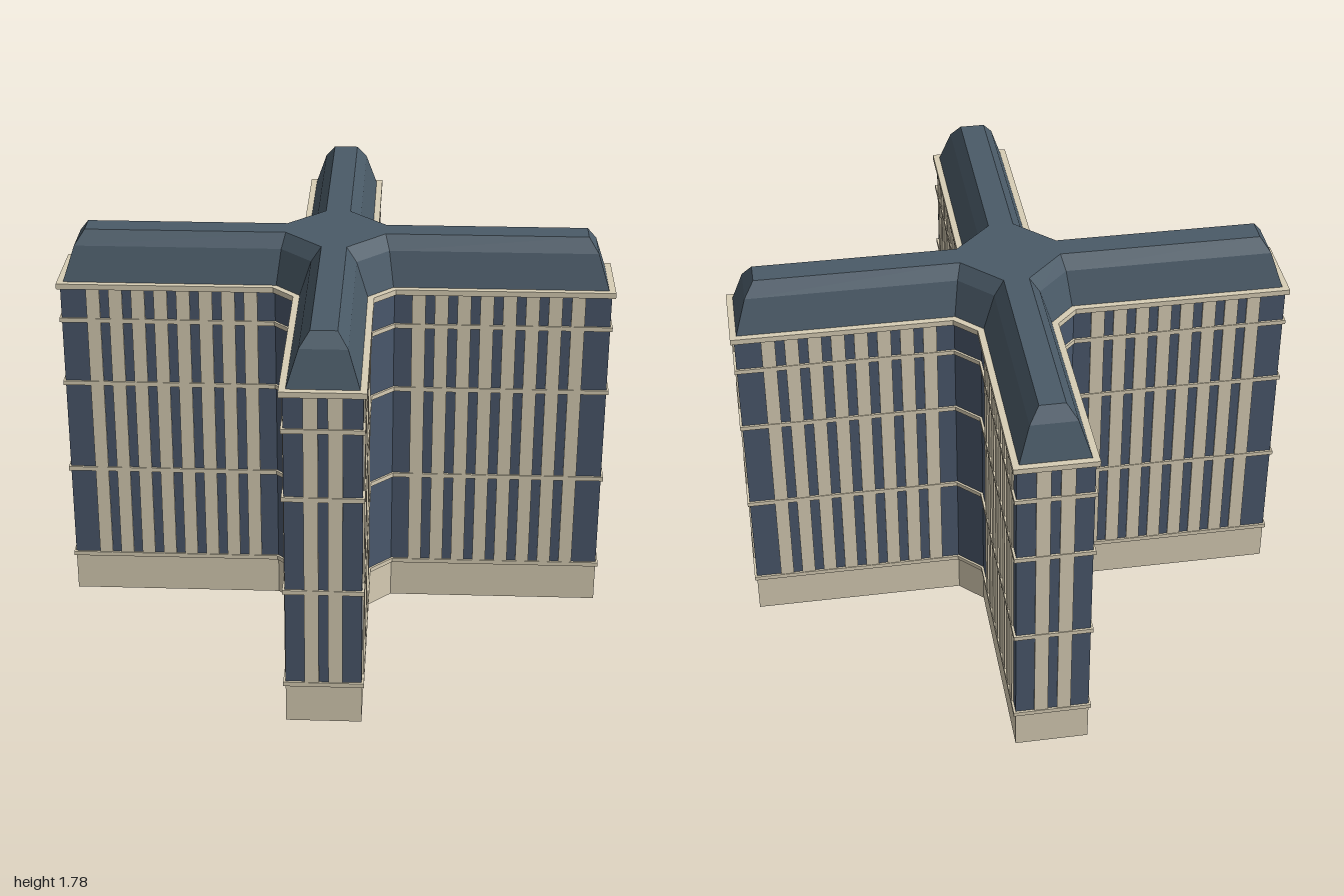
import * as THREE from 'three';

const stone = new THREE.MeshStandardMaterial({ name: 'stone', color: 0xd8ceb5 });
const glass = new THREE.MeshStandardMaterial({ name: 'blueGlass', color: 0x4a586c });
const slate = new THREE.MeshStandardMaterial({ name: 'slateRoof', color: 0x4a5a67 });

// Plan of the cross: arm tip corners at (A, B) and notch corners at (N, M)
const A = 0.749, B = 0.977, N = 0.073, M = B - A + N;
const HALF_WIDTH = (B - A) / Math.SQRT2;
const REACH = (A + B) / Math.SQRT2;

// Outline of the cross, moved outward by d
function outline(d) {
  const b = B + d * Math.SQRT2, m = M + d, n = m - (b - A);
  const points = [];
  let quarter = [[n, m], [A, b], [b, A], [m, n]];
  for (let k = 0; k < 4; k++) {
    points.push(...quarter);
    quarter = quarter.map(([x, z]) => [z, -x]);
  }
  return points;
}

// Closed solid through outlines given as [offset, height] levels
function loft(levels) {
  const rings = levels.map(([d, y]) => outline(d).map(([x, z]) => [x, y, z]));
  const pos = [];
  const tri = (a, b, c) => pos.push(...a, ...b, ...c);
  for (let r = 0; r < rings.length - 1; r++) {
    const lo = rings[r], hi = rings[r + 1];
    for (let i = 0; i < lo.length; i++) {
      const j = (i + 1) % lo.length;
      tri(lo[i], lo[j], hi[j]);
      tri(lo[i], hi[j], hi[i]);
    }
  }
  const cap = (ring, up) => {
    const flat = ring.map(([x, , z]) => new THREE.Vector2(x, -z));
    for (const [a, b, c] of THREE.ShapeUtils.triangulateShape(flat, [])) {
      if (up) tri(ring[a], ring[b], ring[c]);
      else tri(ring[a], ring[c], ring[b]);
    }
  };
  cap(rings[0], false);
  cap(rings[rings.length - 1], true);
  const geometry = new THREE.BufferGeometry();
  geometry.setAttribute('position', new THREE.Float32BufferAttribute(pos, 3));
  geometry.computeVertexNormals();
  return geometry;
}

export function createModel() {
  const model = new THREE.Group();
  model.name = 'crossShapedTower';
  const add = (parent, name, geometry, material) => {
    const mesh = new THREE.Mesh(geometry, material);
    mesh.name = name;
    parent.add(mesh);
    return mesh;
  };

  // Plinth, glazed walls, bands, cornice
  add(model, 'plinth', loft([[0, 0], [0, 0.18]]), stone);
  add(model, 'glazedWalls', loft([[0, 0.18], [0, 1.55]]), glass);
  for (const y of [0.188, 0.64, 1.078, 1.388]) {
    add(model, 'band', loft([[0.01, y - 0.01], [0.01, y + 0.01]]), stone);
  }
  add(model, 'cornice', loft([[0.016, 1.54], [0.016, 1.565]]), stone);

  // Mansard roof with two slopes
  add(model, 'mansardRoof', loft([[-0.009, 1.555], [-0.062, 1.718], [-0.106, 1.78]]), slate);

  // Pilasters: each arm lies along its group's local +z
  const width = 0.06, depth = 0.007, pitch = 0.1005;
  const bottom = 0.19, top = 1.545;
  const sideShape = new THREE.BoxGeometry(2 * depth, top - bottom, width);
  const endShape = new THREE.BoxGeometry(width, top - bottom, 2 * depth);
  for (let k = 0; k < 4; k++) {
    const arm = new THREE.Group();
    arm.name = 'armPilasters';
    arm.rotation.y = Math.PI / 4 + k * Math.PI / 2;
    const odd = k % 2 === 1;
    const start = odd ? 0.421 : 0.373;
    for (const side of [-1, 1]) {
      for (let i = 0; i < 8; i++) {
        add(arm, 'sidePilaster', sideShape, stone)
          .position.set(side * HALF_WIDTH, (bottom + top) / 2, start + i * pitch);
      }
    }
    for (const x of odd ? [-pitch / 2, pitch / 2] : [0]) {
      add(arm, 'endPilaster', endShape, stone).position.set(x, (bottom + top) / 2, REACH);
    }
    model.add(arm);
  }
  return model;
}
